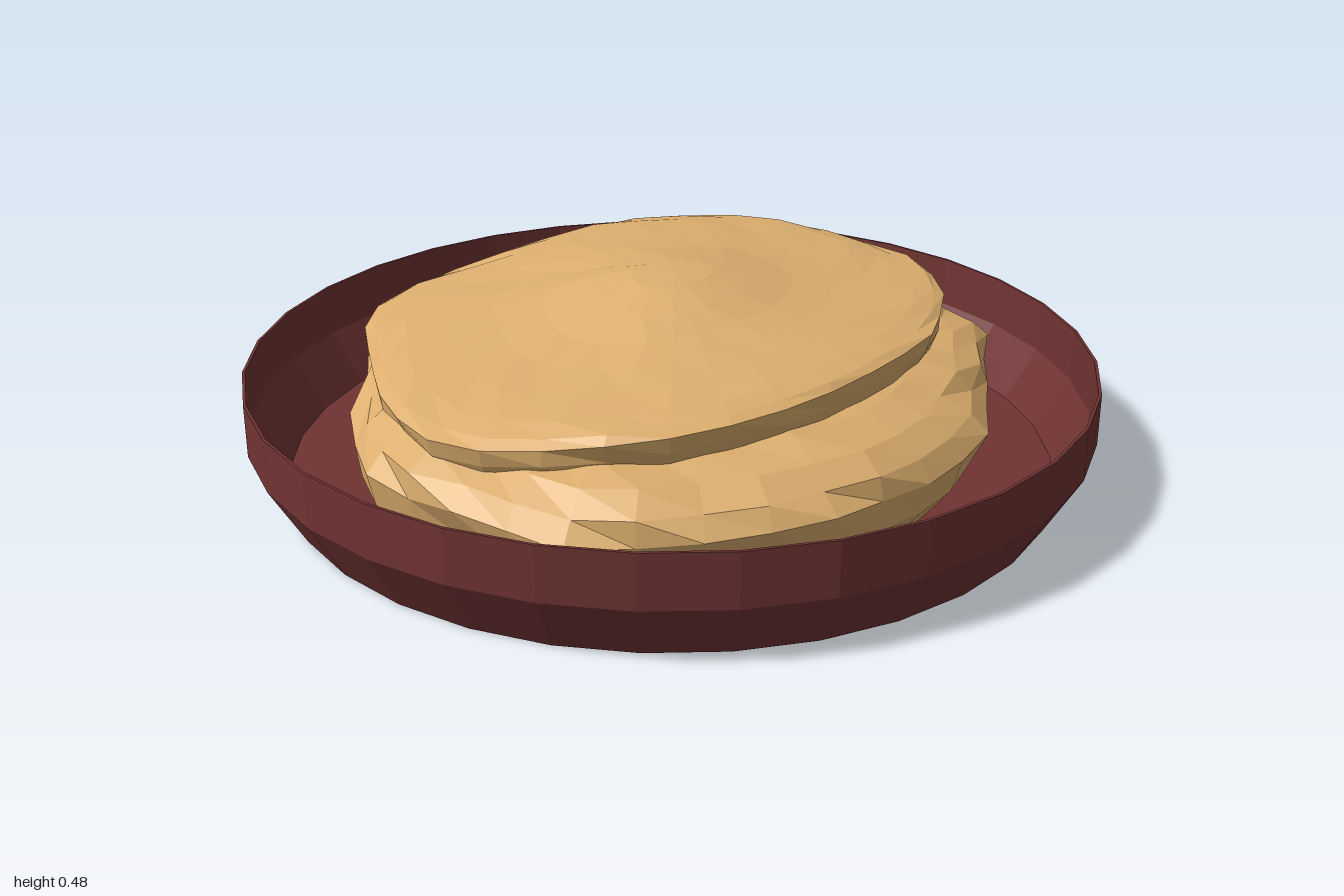
import * as THREE from 'three';

const V = (p) => new THREE.Vector3(...p);

// Irregular flat layer lofted from its centre, over its rim and underneath.
// rings: [share of outline radius, blend from centre height to rim height, drop]
function layer(name, centre, outline, rings, material, segments, wobble) {
  const curve = new THREE.CatmullRomCurve3(outline.map(V), true, 'centripetal');
  const rim = curve.getSpacedPoints(segments).slice(0, segments);
  const positions = [];
  const index = [];
  rings.forEach(([t, blend, drop], i) => {
    rim.forEach((p, j) => {
      const bump = wobble * t * Math.sin(j * 2.3 + i * 1.7) * Math.sin(j * 0.9);
      const s = t * (1 + bump);
      positions.push(
        centre[0] + (p.x - centre[0]) * s,
        centre[1] + (p.y - centre[1]) * blend - drop + bump * 0.3,
        centre[2] + (p.z - centre[2]) * s
      );
      if (i === rings.length - 1) return;
      const k = (j + 1) % segments;
      const a = i * segments + j, b = i * segments + k;
      const c = a + segments, d = b + segments;
      index.push(a, b, c, b, d, c);
    });
  });
  const geometry = new THREE.BufferGeometry();
  geometry.setAttribute('position', new THREE.Float32BufferAttribute(positions, 3));
  geometry.setIndex(index);
  geometry.computeVertexNormals();
  const mesh = new THREE.Mesh(geometry, material);
  mesh.name = name;
  return mesh;
}

export function createModel() {
  const group = new THREE.Group();
  group.name = 'flatbreadDish';
  const dishMaterial = new THREE.MeshStandardMaterial({
    color: 0x703333, flatShading: true, side: THREE.DoubleSide });
  const breadMaterial = new THREE.MeshStandardMaterial({
    color: 0xdcae6e, flatShading: true, side: THREE.DoubleSide });

  // Shallow dish: sloped foot, upright rim, thin wall
  const profile = [
    [0, 0], [0.92, 0], [1, 0.14], [1, 0.265],
    [0.993, 0.265], [0.99, 0.14], [0.91, 0.015], [0, 0.015]
  ].map(([x, y]) => new THREE.Vector2(x, y));
  const dish = new THREE.Mesh(new THREE.LatheGeometry(profile, 32, Math.PI / 32), dishMaterial);
  dish.name = 'dish';
  group.add(dish);

  // Wide lower bread resting on the dish floor
  const lowerOutline = [
    [0.79, 0.2, 0.05], [0.76, 0.21, 0.3], [0.66, 0.2, 0.5], [0.42, 0.19, 0.77],
    [0.2, 0.2, 0.8], [0, 0.19, 0.84], [-0.2, 0.2, 0.79], [-0.38, 0.22, 0.63],
    [-0.6, 0.25, 0.42], [-0.71, 0.26, 0.25], [-0.72, 0.25, 0.05], [-0.67, 0.25, -0.25],
    [-0.55, 0.24, -0.5], [-0.42, 0.24, -0.67], [-0.25, 0.23, -0.72], [-0.04, 0.21, -0.84],
    [0.13, 0.21, -0.83], [0.42, 0.22, -0.68], [0.54, 0.22, -0.53], [0.7, 0.21, -0.3],
    [0.76, 0.2, -0.15]
  ];
  group.add(layer('lowerBread', [0, 0.36, 0], lowerOutline, [
    [0, 0, 0], [0.55, 0.2, 0], [0.76, 0.35, 0], [0.88, 0.5, 0], [0.96, 0.72, 0],
    [1, 1, 0], [0.97, 1, 0.08], [0.88, 1, 0.17], [0.5, 1, 0.18], [0, 1, 0.18]
  ], breadMaterial, 36, 0.025));

  // Smaller domed bread on top, tilted down toward the front
  const upperOutline = [
    [0.59, 0.38, 0], [0.56, 0.37, 0.3], [0.42, 0.35, 0.57], [0.1, 0.31, 0.77],
    [-0.2, 0.31, 0.71], [-0.4, 0.31, 0.58], [-0.61, 0.32, 0.41], [-0.66, 0.33, 0.2],
    [-0.55, 0.39, -0.1], [-0.47, 0.4, -0.4], [-0.15, 0.4, -0.63], [0.3, 0.39, -0.6],
    [0.52, 0.38, -0.35]
  ];
  group.add(layer('upperBread', [0.03, 0.48, 0.02], upperOutline, [
    [0, 0, 0], [0.14, 0.05, 0], [0.28, 0.23, 0], [0.43, 0.46, 0], [0.58, 0.6, 0],
    [0.74, 0.7, 0], [0.88, 0.8, 0], [0.96, 0.9, 0], [1, 1, 0],
    [0.985, 1, 0.04], [0.95, 1, 0.09], [0.8, 1, 0.1], [0, 1, 0.1]
  ], breadMaterial, 32, 0.012));

  return group;
}
